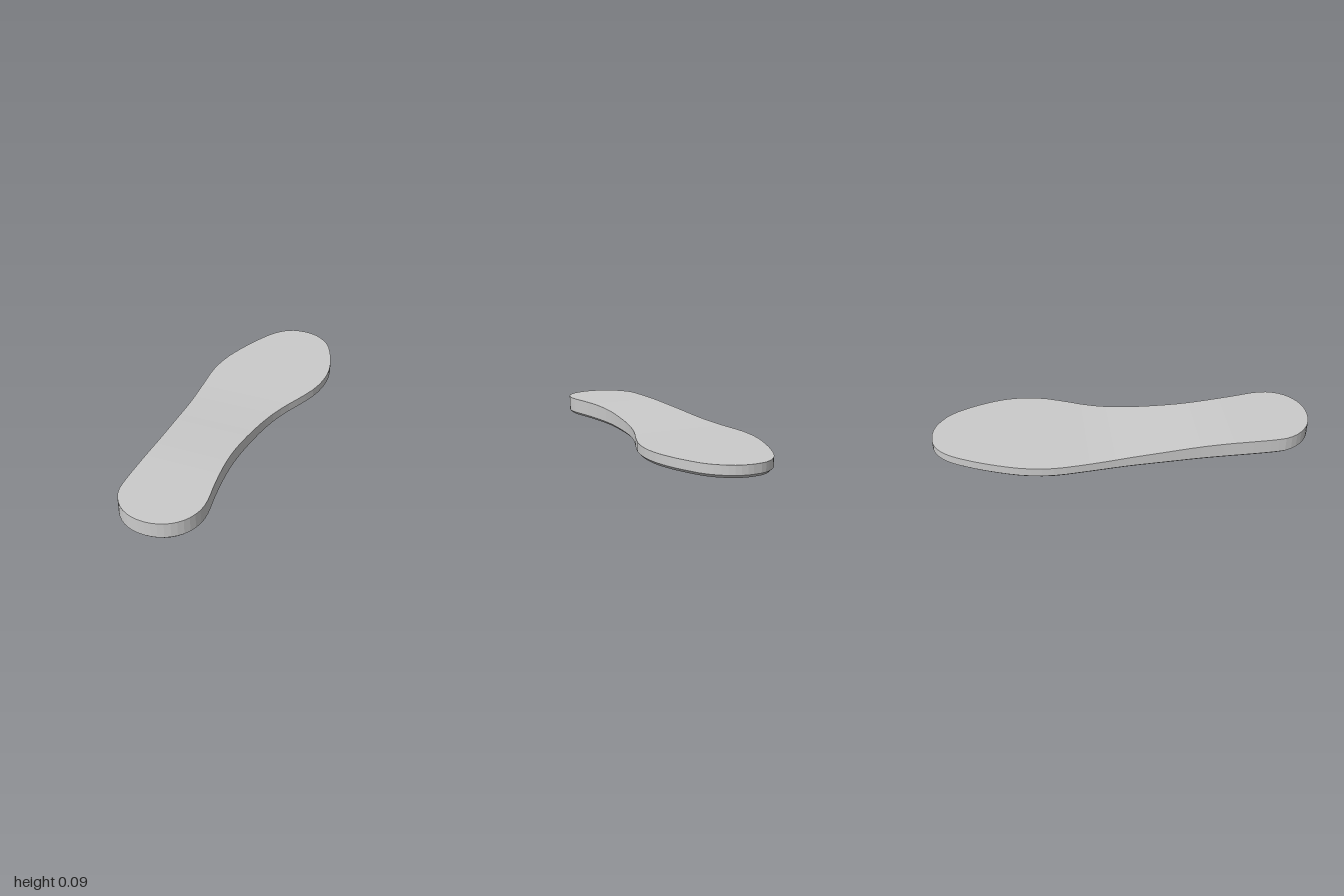
import * as THREE from 'three';

// Outline from toe tip (z = -1), down the +x side, round the heel, back up the -x side: [x, z]
const OUTLINE = [
  [0.03, -1], [0.11, -0.982], [0.2, -0.91], [0.257, -0.8], [0.3, -0.66], [0.312, -0.55],
  [0.295, -0.41], [0.25, -0.285], [0.193, -0.15], [0.155, -0.02], [0.125, 0.16], [0.11, 0.34],
  [0.114, 0.48], [0.13, 0.635], [0.148, 0.76], [0.146, 0.83], [0.115, 0.91], [0.06, 0.965],
  [0, 0.992], [-0.063, 1], [-0.13, 0.99], [-0.19, 0.96], [-0.242, 0.905], [-0.271, 0.84],
  [-0.277, 0.77], [-0.277, 0.4], [-0.283, 0.2], [-0.29, 0], [-0.305, -0.2], [-0.315, -0.38],
  [-0.302, -0.5], [-0.277, -0.6], [-0.2, -0.8], [-0.125, -0.93], [-0.05, -0.988],
];
const STATIONS = 48;
const BEVEL = 0.015;

// Top height: thin forefoot rising smoothly to a raised heel
const topHeight = (z) => 0.061 + 0.034 * THREE.MathUtils.smoothstep(z, -0.25, 0.6);

// x on one side of the outline at a given z (side points run from toe to heel)
function xAt(side, z) {
  let i = 1;
  while (i < side.length - 1 && side[i].z < z) i++;
  const a = side[i - 1], b = side[i];
  const t = THREE.MathUtils.clamp((z - a.z) / (b.z - a.z || 1), 0, 1);
  return a.x + (b.x - a.x) * t;
}

// Loop with matching left and right points at every station
function makeLoop() {
  const curve = new THREE.CatmullRomCurve3(OUTLINE.map(([x, z]) => new THREE.Vector3(x, 0, z)), true);
  const pts = curve.getPoints(OUTLINE.length * 24);
  const heel = 19 * 24;
  const right = pts.slice(0, heel + 1);
  const left = pts.slice(heel).reverse();
  const loop = [];
  for (let i = 0; i < 2 * STATIONS; i++) {
    const z = -Math.cos((Math.PI * i) / STATIONS);
    loop.push(new THREE.Vector2(xAt(i <= STATIONS ? right : left, z), z));
  }
  return loop;
}

function insoleGeometry() {
  const loop = makeLoop();
  const n = loop.length;
  const inset = loop.map((p, i) => {
    const t = loop[(i + 1) % n].clone().sub(loop[(i + n - 1) % n]).normalize();
    return new THREE.Vector2(p.x - t.y * BEVEL, p.y + t.x * BEVEL);
  });

  // Three rings: inset sole, bevel edge, contoured top
  const pos = [];
  inset.forEach((p) => pos.push(p.x, 0, p.y));
  loop.forEach((p) => pos.push(p.x, BEVEL, p.y));
  loop.forEach((p) => pos.push(p.x, topHeight(p.y), p.y));

  const index = [];
  // Bevel and side wall
  for (let r = 0; r < 2; r++) {
    for (let i = 0; i < n; i++) {
      const j = (i + 1) % n;
      const a = r * n + i, b = r * n + j;
      index.push(a, a + n, b + n, a, b + n, b);
    }
  }
  // Sole and top, bridged across from side to side
  for (let i = 0; i < STATIONS; i++) {
    const r0 = i, r1 = i + 1, l0 = (n - i) % n, l1 = n - i - 1;
    const top = 2 * n;
    if (i > 0) {
      index.push(top + r0, top + l0, top + r1);
      index.push(r0, r1, l0);
    }
    if (i < STATIONS - 1) {
      index.push(top + r1, top + l0, top + l1);
      index.push(r1, l1, l0);
    }
  }

  const geometry = new THREE.BufferGeometry();
  geometry.setAttribute('position', new THREE.Float32BufferAttribute(pos, 3));
  geometry.setIndex(index);
  geometry.computeVertexNormals();
  return geometry;
}

export function createModel() {
  const group = new THREE.Group();
  group.name = 'insole';
  const material = new THREE.MeshStandardMaterial({ color: 0xcccccc, flatShading: true });
  const body = new THREE.Mesh(insoleGeometry(), material);
  body.name = 'insoleBody';
  group.add(body);
  return group;
}
